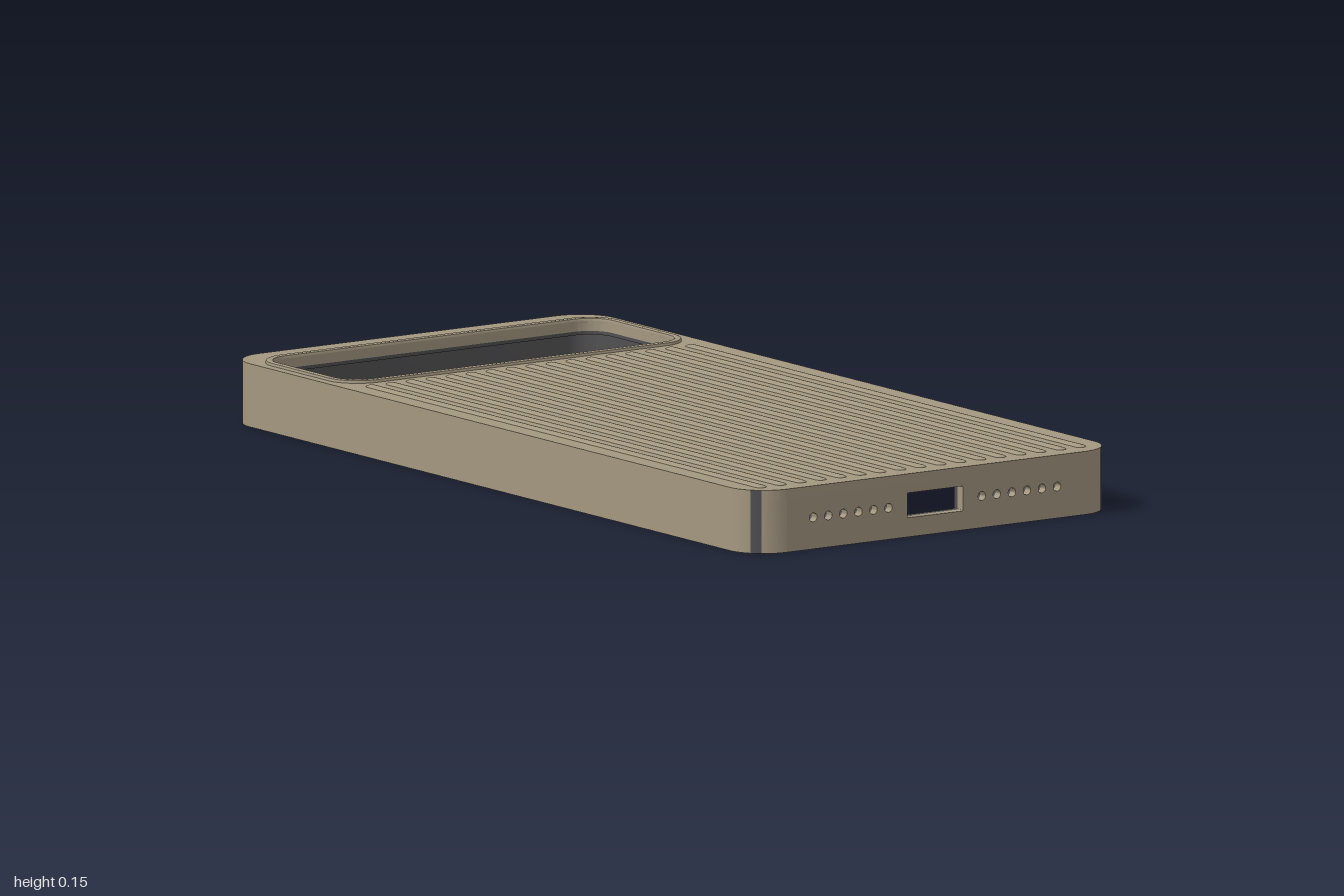
import * as THREE from 'three';
import { toCreasedNormals } from 'three/addons/utils/BufferGeometryUtils.js';

const CX = -0.003, HALF_W = 0.485, HALF_L = 1, R = 0.09;
const HEIGHT = 0.14, PLATE = 0.118;
const SKIN = 0.02, WALL = 0.035; // outer shell thickness, total wall thickness

const tan = new THREE.MeshStandardMaterial({ color: 0xa39780 });
const dark = new THREE.MeshStandardMaterial({ color: 0x505052 });

// Rounded rectangle in plan; plan y is -z
function rounded(cx, cy, hw, hl, r, Type = THREE.Shape) {
  const s = new Type();
  s.absarc(cx + hw - r, cy + hl - r, r, 0, Math.PI / 2);
  s.absarc(cx - hw + r, cy + hl - r, r, Math.PI / 2, Math.PI);
  s.absarc(cx - hw + r, cy - hl + r, r, Math.PI, Math.PI * 1.5);
  s.absarc(cx + hw - r, cy - hl + r, r, Math.PI * 1.5, Math.PI * 2);
  s.closePath();
  return s;
}

// Extrudes a plan shape upwards from y0 to y1
function raise(shape, y0, y1, bevel = 0) {
  const g = new THREE.ExtrudeGeometry(shape, {
    depth: y1 - y0 - bevel, curveSegments: 12, bevelEnabled: bevel > 0,
    bevelSize: bevel, bevelThickness: bevel, bevelOffset: -bevel, bevelSegments: 2,
  });
  g.rotateX(-Math.PI / 2).translate(0, y0, 0);
  return toCreasedNormals(g, 0.6);
}

// Plan points of the wall outline at an inset, leaving the straight front open
function openOutline(inset) {
  const pts = [], r = R - inset;
  const dx = HALF_W - R, dy = HALF_L - R;
  [[1, -1], [1, 1], [-1, 1], [-1, -1]].forEach(([sx, sy], corner) => {
    for (let i = 0; i <= 12; i++) {
      const a = (corner - 1 + i / 12) * Math.PI / 2;
      pts.push(new THREE.Vector2(CX + sx * dx + r * Math.cos(a), sy * dy + r * Math.sin(a)));
    }
  });
  return pts;
}

// Side and back walls between two insets
function sideWalls(a, b) {
  return raise(new THREE.Shape([...openOutline(a), ...openOutline(b).reverse()]), 0, PLATE);
}

// Front wall with charging port and speaker holes
function frontWall(a, b) {
  const s = new THREE.Shape(), x0 = CX - HALF_W + R, x1 = CX + HALF_W - R;
  s.moveTo(x0, 0).lineTo(x1, 0).lineTo(x1, PLATE).lineTo(x0, PLATE).closePath();
  s.holes.push(rounded(-0.004, 0.07, 0.074, 0.0275, 0.002, THREE.Path));
  for (let i = 0; i < 6; i++) {
    for (const x of [-0.328 + i * 0.04, 0.12 + i * 0.04]) {
      s.holes.push(new THREE.Path().absarc(x, 0.07, 0.01, 0, Math.PI * 2));
    }
  }
  const g = new THREE.ExtrudeGeometry(s, { depth: b - a, bevelEnabled: false, curveSegments: 8 });
  return toCreasedNormals(g.translate(0, 0, HALF_L - b), 0.9);
}

const cameraHole = () => rounded(-0.005, 0.75, 0.444, 0.167, 0.06, THREE.Path);

// Flat back plate with the camera opening
function plate(inset, y0, y1) {
  const s = rounded(CX, 0, HALF_W - inset, HALF_L - inset, R - inset);
  s.holes.push(cameraHole());
  return raise(s, y0, y1);
}

export function createModel() {
  const model = new THREE.Group();
  model.name = 'phoneCase';
  const add = (name, geometry, material, parent = model) => {
    const mesh = new THREE.Mesh(geometry, material);
    mesh.name = name;
    parent.add(mesh);
    return mesh;
  };

  // Outer shell
  add('sideWalls', sideWalls(0, SKIN), tan);
  add('frontWall', frontWall(0, SKIN), tan);
  add('backPanel', plate(0, PLATE, HEIGHT), tan);

  // Dark inner lining
  add('sideLining', sideWalls(SKIN, WALL), dark);
  add('frontLining', frontWall(SKIN, WALL), dark);
  add('panelLining', plate(WALL - 0.001, PLATE - 0.008, PLATE), dark);

  // Raised frame around the camera opening
  const frame = rounded(-0.005, 0.75, 0.461, 0.184, 0.077);
  frame.holes.push(cameraHole());
  add('cameraFrame', raise(frame, HEIGHT - 0.004, 0.147, 0.004), tan);

  // Long grip ribs on the back
  const ribs = new THREE.Group();
  ribs.name = 'gripRibs';
  model.add(ribs);
  const ribGeometry = new THREE.CapsuleGeometry(0.013, 1.474, 5, 14);
  ribGeometry.rotateX(Math.PI / 2).scale(1, 0.35, 1);
  for (let i = 0; i < 17; i++) {
    add('rib', ribGeometry, tan, ribs).position.set(-0.43 + i * 0.0531, HEIGHT, 0.208);
  }

  // Dark strips down the four corners
  for (const sx of [-1, 1]) {
    for (const sz of [-1, 1]) {
      const mid = Math.atan2(sx, sz), span = 0.26;
      const g = new THREE.CylinderGeometry(R + 0.0008, R + 0.0008, HEIGHT - 0.001, 4, 1, true, mid - span / 2, span);
      add('cornerStrip', g, dark)
        .position.set(CX + sx * (HALF_W - R), HEIGHT / 2, sz * (HALF_L - R));
    }
  }

  // Side buttons, passing through the wall
  for (const [name, z0, z1] of [['powerButton', -0.7, -0.545], ['volumeButton', -0.53, -0.29]]) {
    add(name, new THREE.BoxGeometry(0.046, 0.075, z1 - z0), tan)
      .position.set(0.465, 0.0725, (z0 + z1) / 2);
  }
  return model;
}
